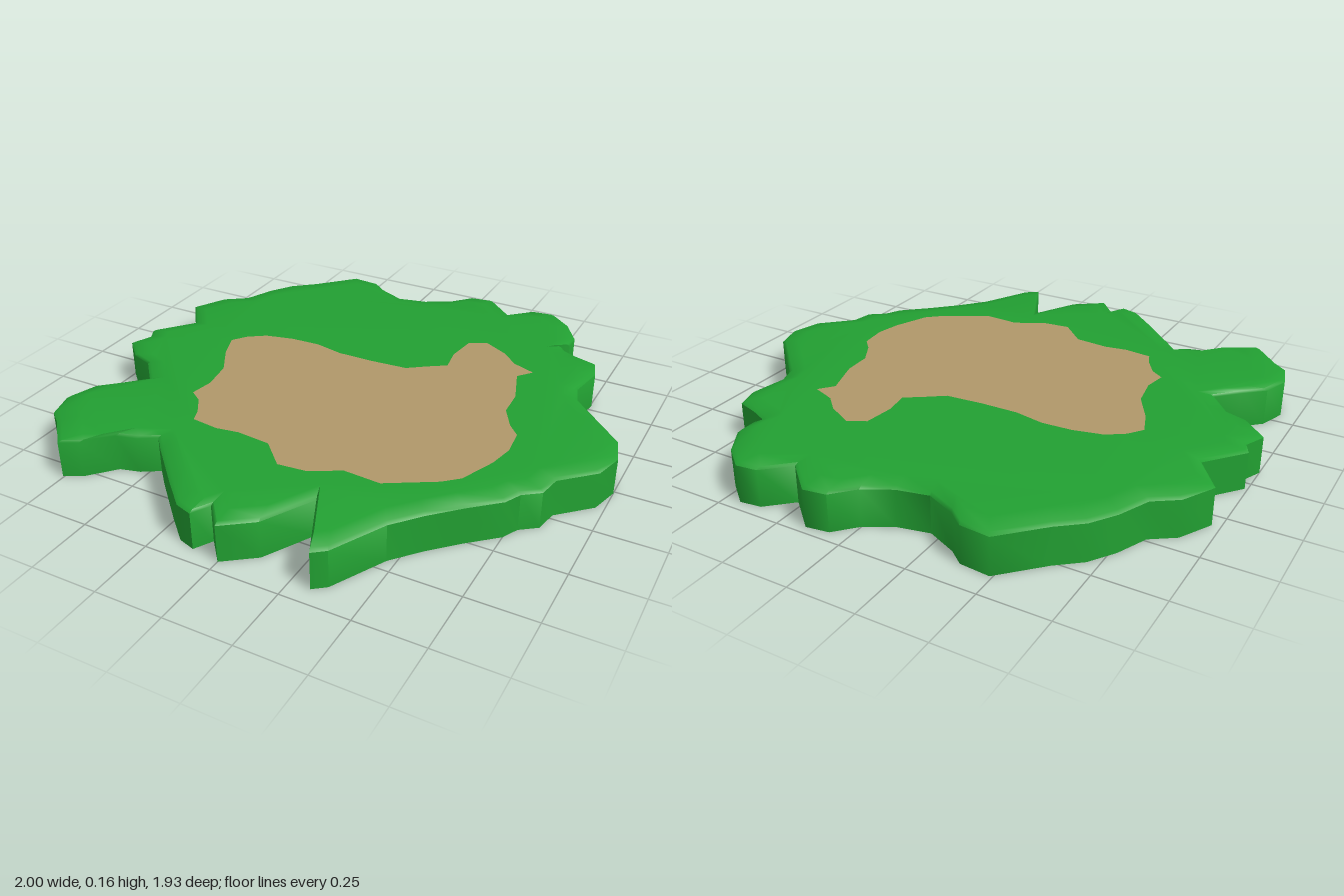
import * as THREE from 'three';
import { mergeGeometries, toCreasedNormals } from 'three/addons/utils/BufferGeometryUtils.js';

// Ragged outer edge, x and z pairs, running round the slab
const EDGE = [
  .07, -.957, .155, -.97, .27, -.865, .36, -.95, .44, -.96, .525, -.89, .59, -.785, .59, -.72, .565, -.69, .585, -.665,
  .65, -.635, .73, -.61, .755, -.53, .73, -.385, .755, -.31, .865, -.2, .97, -.095, 1, .01, .97, .12,
  .855, .23, .84, .315, .78, .36, .75, .42, .65, .51, .555, .605, .47, .705, .37, .9, .325, .935,
  .21, .69, .11, .875, 0, .957, -.07, .875, -.107, .94, -.17, .92, -.26, .835, -.41, .685, -.465, .625,
  -.53, .665, -.605, .685, -.69, .78, -.755, .815, -.85, .71, -.905, .665, -.935, .56, -.9, .455, -.825, .385,
  -.745, .305, -.835, .2, -.92, .17, -1, .09, -.965, .01, -.99, -.04, -.875, -.18, -.97, -.31, -.905, -.43,
  -.82, -.49, -.77, -.605, -.71, -.695, -.625, -.765, -.49, -.905, -.38, -.895, -.325, -.85, -.215, -.8,
  -.1, -.825, 0, -.88,
];

// Bare earth patch, x and z pairs
const PATCH = [
  .295, -.555, .395, -.5, .455, -.44, .545, -.405, .5, -.35, .55, -.2, .555, -.09, .605, 0, .65, .05, .66, .155,
  .64, .25, .585, .385, .53, .435, .36, .535, .22, .525, .115, .585, .005, .595, -.09, .5, -.22, .487, -.305, .5,
  -.41, .487, -.43, .435, -.475, .365, -.525, .33, -.51, .24, -.53, .12, -.6, 0, -.635, -.095, -.595, -.15,
  -.53, -.195, -.42, -.22, -.305, -.225, -.19, -.2, -.05, -.2, .095, -.21, .17, -.265, .23, -.305, .215, -.4, .23, -.52,
];

const TOP = 0.158;
// Skirt cross-section: scale towards the centre, height
const RINGS = [[1, 0], [1, 0.14], [0.985, 0.149], [0.92, TOP]];

// Pairs to 2D points, with z flipped so that laying the shape flat restores it
function toPoints(pairs, scale = 1) {
  const points = [];
  for (let i = 0; i < pairs.length; i += 2) {
    points.push(new THREE.Vector2(pairs[i] * scale, -pairs[i + 1] * scale));
  }
  return points;
}

function flatSurface(points, hole) {
  const shape = new THREE.Shape(points);
  if (hole) shape.holes.push(new THREE.Path(hole));
  const geometry = new THREE.ShapeGeometry(shape);
  geometry.rotateX(-Math.PI / 2).translate(0, TOP, 0);
  geometry.deleteAttribute('uv');
  return geometry;
}

// Side wall with a softly rounded upper rim, open below
function skirtSurface() {
  const count = EDGE.length / 2;
  const positions = [];
  const indices = [];
  RINGS.forEach(([scale, y], k) => {
    for (let i = 0; i < count; i++) {
      positions.push(EDGE[2 * i] * scale, y, EDGE[2 * i + 1] * scale);
      if (k === RINGS.length - 1) continue;
      const a = k * count + i;
      const b = k * count + (i + 1) % count;
      indices.push(a, a + count, b + count, a, b + count, b);
    }
  });
  const geometry = new THREE.BufferGeometry();
  geometry.setAttribute('position', new THREE.Float32BufferAttribute(positions, 3));
  geometry.setIndex(indices);
  geometry.computeVertexNormals();
  return geometry;
}

export function createModel() {
  const group = new THREE.Group();
  group.name = 'groundPatch';
  const add = (name, geometry, color) => {
    const material = new THREE.MeshStandardMaterial({ color, side: THREE.DoubleSide });
    const mesh = new THREE.Mesh(geometry, material);
    mesh.name = name;
    group.add(mesh);
  };

  // Grass: skirt, rounded rim and the top around the earth
  const rim = RINGS[RINGS.length - 1][0];
  const grass = mergeGeometries([skirtSurface(), flatSurface(toPoints(EDGE, rim), toPoints(PATCH))]);
  add('grass', toCreasedNormals(grass, 0.9), 0x22a032);

  // Earth: fills the opening flush with the grass
  add('earth', flatSurface(toPoints(PATCH)), 0xb0986a);
  return group;
}
